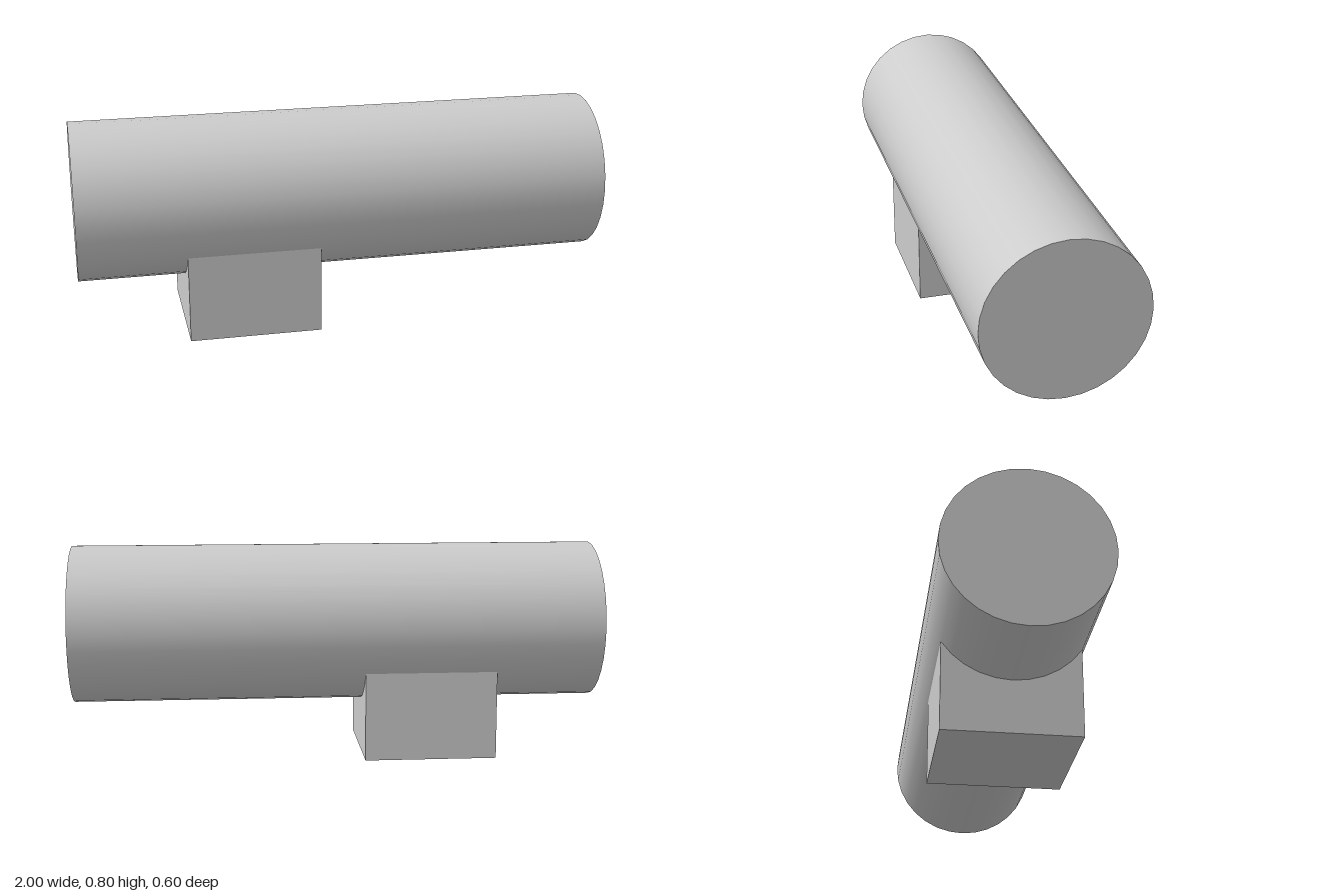
import * as THREE from 'three';

export function createModel() {
  const model = new THREE.Group();
  const lightGrey = new THREE.MeshStandardMaterial({ color: 0xcccccc });
  lightGrey.name = 'lightGrey';

  // Horizontal cylinder along x
  const barrel = new THREE.Mesh(new THREE.CylinderGeometry(0.3, 0.3, 2, 32), lightGrey);
  barrel.name = 'barrel';
  barrel.rotation.z = -Math.PI / 2;
  barrel.position.y = 0.5;
  model.add(barrel);

  // Off-centre support block, its top buried in the barrel
  const supportBlock = new THREE.Mesh(new THREE.BoxGeometry(0.5, 0.5, 0.5), lightGrey);
  supportBlock.name = 'supportBlock';
  supportBlock.position.set(-0.35, 0.25, 0);
  model.add(supportBlock);

  return model;
}
